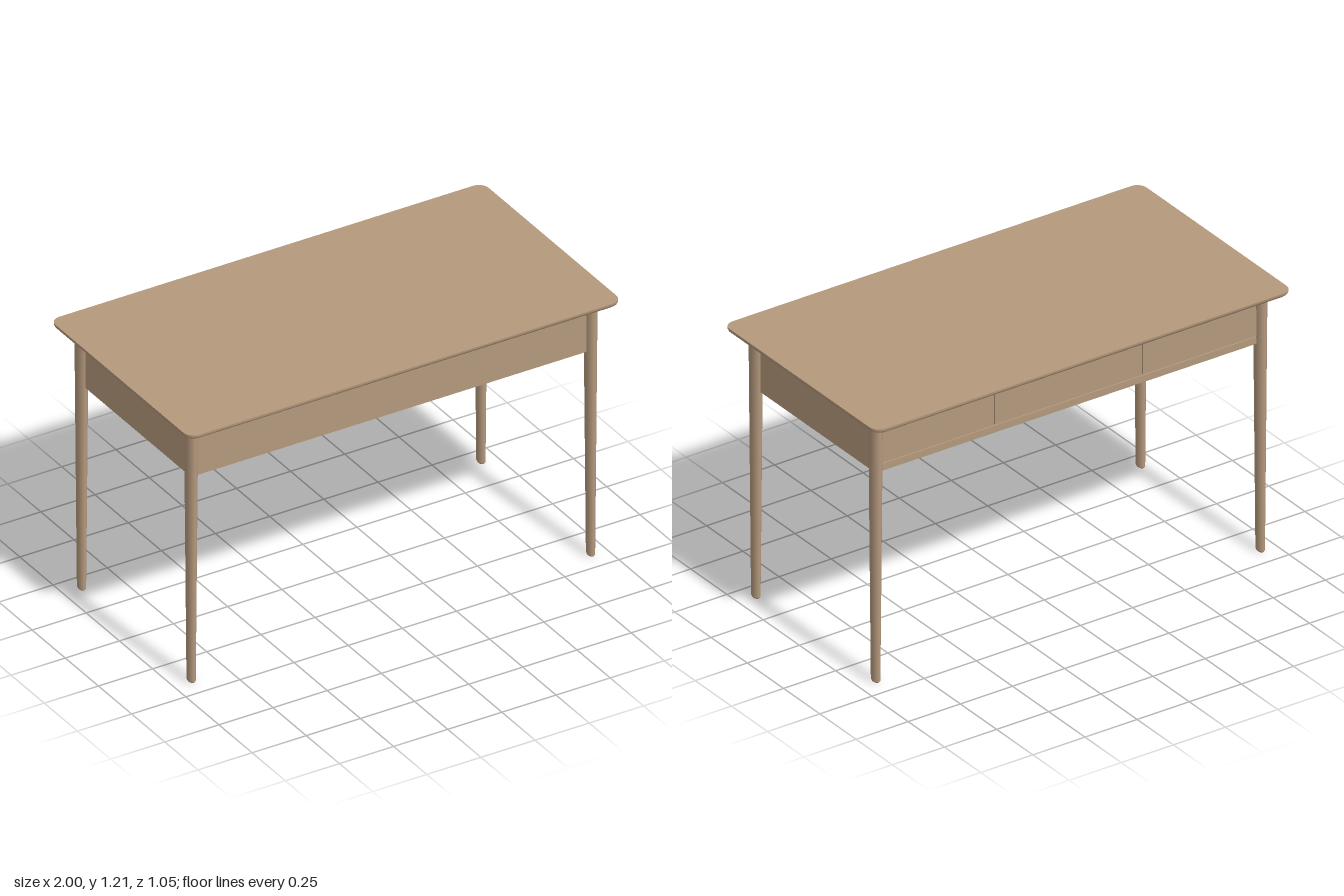
import * as THREE from 'three';

const wood = new THREE.MeshStandardMaterial({ color: 0xb4987c });
wood.name = 'light wood';

function add(parent, name, geometry, x = 0, y = 0, z = 0) {
  const mesh = new THREE.Mesh(geometry, wood);
  mesh.name = name;
  mesh.position.set(x, y, z);
  parent.add(mesh);
  return mesh;
}

// Box given by its min and max corners
function boxBetween(parent, name, [x0, y0, z0], [x1, y1, z1]) {
  const geometry = new THREE.BoxGeometry(x1 - x0, y1 - y0, z1 - z0);
  return add(parent, name, geometry, (x0 + x1) / 2, (y0 + y1) / 2, (z0 + z1) / 2);
}

// Rounded rectangle outline as a loop of [x, z]
function roundedLoop(halfX, halfZ, radius, steps = 8) {
  const loop = [];
  [[1, 1], [-1, 1], [-1, -1], [1, -1]].forEach(([sx, sz], corner) => {
    for (let i = 0; i <= steps; i++) {
      const a = (corner + i / steps) * Math.PI / 2;
      loop.push([
        sx * (halfX - radius) + radius * Math.cos(a),
        sz * (halfZ - radius) + radius * Math.sin(a),
      ]);
    }
  });
  return loop;
}

// Slab with an undercut edge, skinned through stacked [inset, y] loops
function tabletopGeometry() {
  const levels = [[0.03, 1.175], [0.013, 1.182], [0.003, 1.19], [0, 1.197], [0, 1.205]];
  const positions = [];
  const indices = [];
  let n = 0;
  for (const [inset, y] of levels) {
    const loop = roundedLoop(1 - inset, 0.527 - inset, 0.045 - inset * 0.5);
    n = loop.length;
    loop.forEach(([x, z]) => positions.push(x, y, z));
  }
  for (let k = 0; k < levels.length - 1; k++) {
    for (let i = 0; i < n; i++) {
      const j = (i + 1) % n;
      const a = k * n + i, b = k * n + j;
      indices.push(a, a + n, b, b, a + n, b + n);
    }
  }
  // Flat caps with their own vertices keep the rims sharp
  for (const [level, up] of [[0, false], [levels.length - 1, true]]) {
    const start = positions.length / 3;
    for (let i = 0; i < n * 3; i++) positions.push(positions[level * n * 3 + i]);
    for (let i = 1; i < n - 1; i++) {
      if (up) indices.push(start, start + i + 1, start + i);
      else indices.push(start, start + i, start + i + 1);
    }
  }
  const geometry = new THREE.BufferGeometry();
  geometry.setAttribute('position', new THREE.Float32BufferAttribute(positions, 3));
  geometry.setIndex(indices);
  geometry.computeVertexNormals();
  return geometry;
}

// Drawer front from an outline in x and y
function drawerFront(parent, name, points) {
  const shape = new THREE.Shape(points.map(([x, y]) => new THREE.Vector2(x, y)));
  const geometry = new THREE.ExtrudeGeometry(shape, { depth: 0.02, bevelEnabled: false });
  add(parent, name, geometry, 0, 0, -0.418);
}

export function createModel() {
  const desk = new THREE.Group();
  desk.name = 'desk';

  add(desk, 'tabletop', tabletopGeometry());

  // Apron body with the drawer opening framed on its back side
  const apron = new THREE.Group();
  apron.name = 'apron';
  desk.add(apron);
  boxBetween(apron, 'apronBody', [-0.925, 0.945, -0.398], [0.925, 1.178, 0.418]);
  boxBetween(apron, 'drawerRail', [-0.925, 0.945, -0.418], [0.925, 0.976, -0.398]);
  for (const s of [-1, 1]) {
    const x = [s * 0.905, s * 0.925].sort((a, b) => a - b);
    boxBetween(apron, 'drawerStile', [x[0], 0.976, -0.418], [x[1], 1.178, -0.398]);
  }

  // Three drawer fronts with finger pulls cut into their top edges
  const drawers = new THREE.Group();
  drawers.name = 'drawers';
  desk.add(drawers);
  const low = 0.98, high = 1.175, pull = 1.152, slot = 1.162;
  drawerFront(drawers, 'middleDrawer', [
    [-0.353, low], [0.353, low], [0.353, pull], [0.33, pull], [0.325, slot],
    [-0.325, slot], [-0.33, pull], [-0.353, pull],
  ]);
  for (const s of [-1, 1]) {
    drawerFront(drawers, s > 0 ? 'leftDrawer' : 'rightDrawer', [
      [s * 0.357, low], [s * 0.903, low], [s * 0.903, high], [s * 0.52, high],
      [s * 0.515, pull], [s * 0.357, pull],
    ]);
  }

  // Tapered oval legs with a small rounded foot
  const profile = [[0, 0], [0.012, 0.001], [0.02, 0.005], [0.025, 0.012], [0.038, 1.178]]
    .map(([r, y]) => new THREE.Vector2(r, y));
  const legGeometry = new THREE.LatheGeometry(profile, 32).scale(0.61, 1, 1);
  for (const x of [-0.922, 0.922]) {
    for (const z of [-0.413, 0.413]) {
      add(desk, z > 0 ? 'frontLeg' : 'backLeg', legGeometry, x, 0, z);
    }
  }
  return desk;
}
